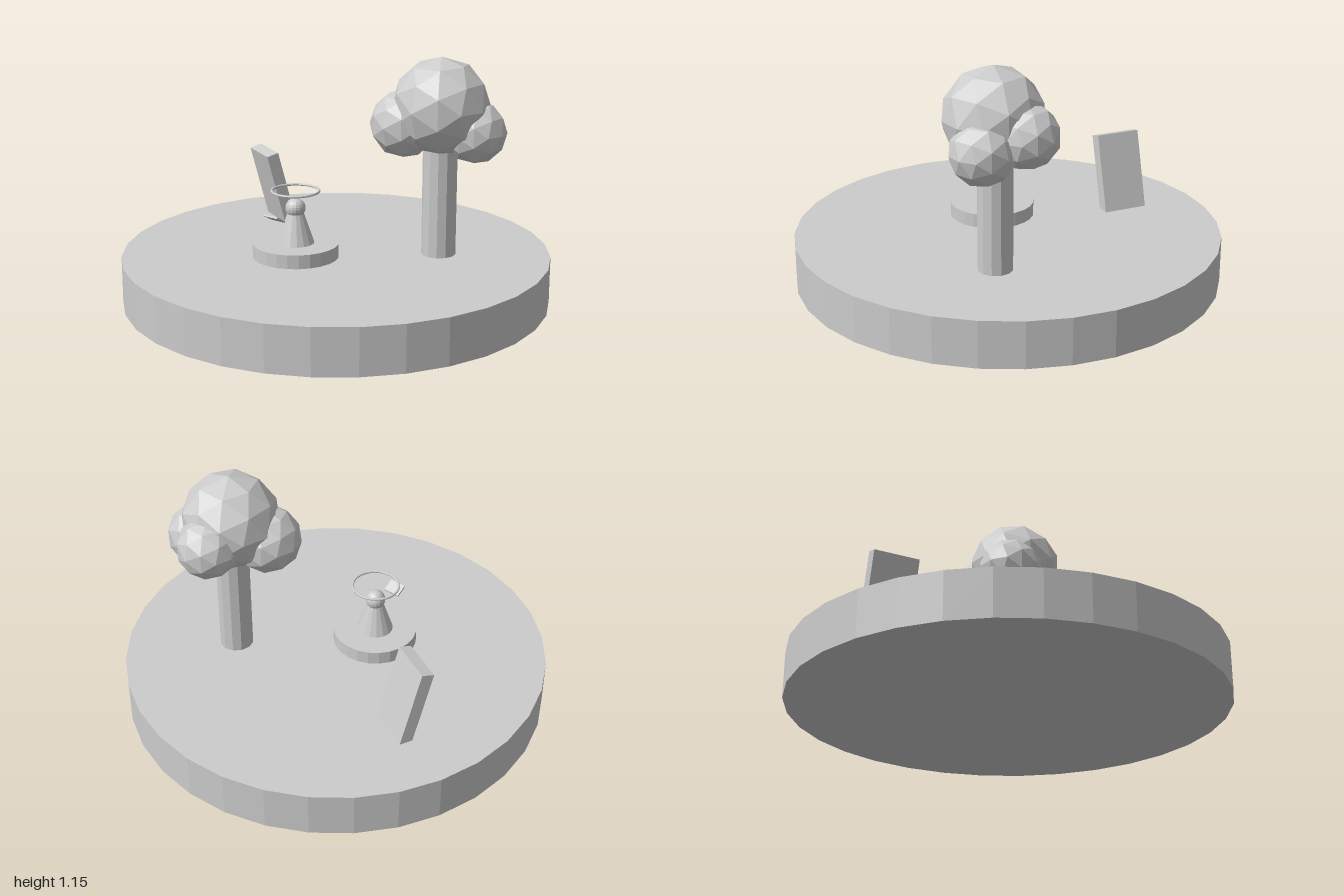
import * as THREE from 'three';

export function createModel() {
  const model = new THREE.Group();
  model.name = 'islandDiorama';
  const grey = new THREE.MeshStandardMaterial({ color: 0xcccccc, flatShading: true });
  grey.name = 'plain grey';

  const add = (name, geometry, x, y, z, parent = model) => {
    const mesh = new THREE.Mesh(geometry, grey);
    mesh.name = name;
    mesh.position.set(x, y, z);
    parent.add(mesh);
    return mesh;
  };

  // Round ground disc
  const groundY = 0.217;
  add('ground', new THREE.CylinderGeometry(1, 1, groundY, 32), 0, groundY / 2, 0);

  // Tree: trunk and four faceted leaf clumps
  const tree = new THREE.Group();
  tree.name = 'tree';
  model.add(tree);
  add('trunk', new THREE.CylinderGeometry(0.08, 0.08, 0.6, 12), 0.397, groundY + 0.29, -0.27, tree);
  const clumps = [
    [0.4, 0.92, -0.265, 0.228],
    [0.255, 0.834, -0.18, 0.158],
    [0.545, 0.81, -0.33, 0.146],
    [0.38, 0.865, -0.435, 0.145],
  ];
  for (const [x, y, z, r] of clumps) {
    add('leafClump', new THREE.IcosahedronGeometry(r, 1), x, y, z, tree);
  }

  // Leaning slab, its back foot edge on the ground
  const slabGeometry = new THREE.BoxGeometry(0.217, 0.396, 0.06).translate(0, 0.178, 0.03);
  const slab = add('leaningSlab', slabGeometry, -0.553, groundY, -0.283);
  slab.rotation.set(0.26, -0.43, 0, 'YXZ');

  // Figure on a round pedestal, with a floating ring and a tilted tablet
  const figure = new THREE.Group();
  figure.name = 'figure';
  figure.position.set(-0.093, 0, 0.18);
  model.add(figure);
  add('pedestal', new THREE.CylinderGeometry(0.2, 0.2, 0.075, 24), 0, 0.2445, 0, figure);
  add('body', new THREE.CylinderGeometry(0.036, 0.087, 0.15, 16), 0, 0.355, 0, figure);
  add('head', new THREE.SphereGeometry(0.047, 16, 12), 0, 0.448, 0, figure);
  const ring = add('floatingRing', new THREE.TorusGeometry(0.109, 0.006, 8, 32), 0, 0.53, 0, figure);
  ring.rotation.x = Math.PI / 2;
  const tablet = add('tablet', new THREE.BoxGeometry(0.082, 0.008, 0.06), 0, 0.43, 0.146, figure);
  tablet.rotation.x = -0.52;

  return model;
}
